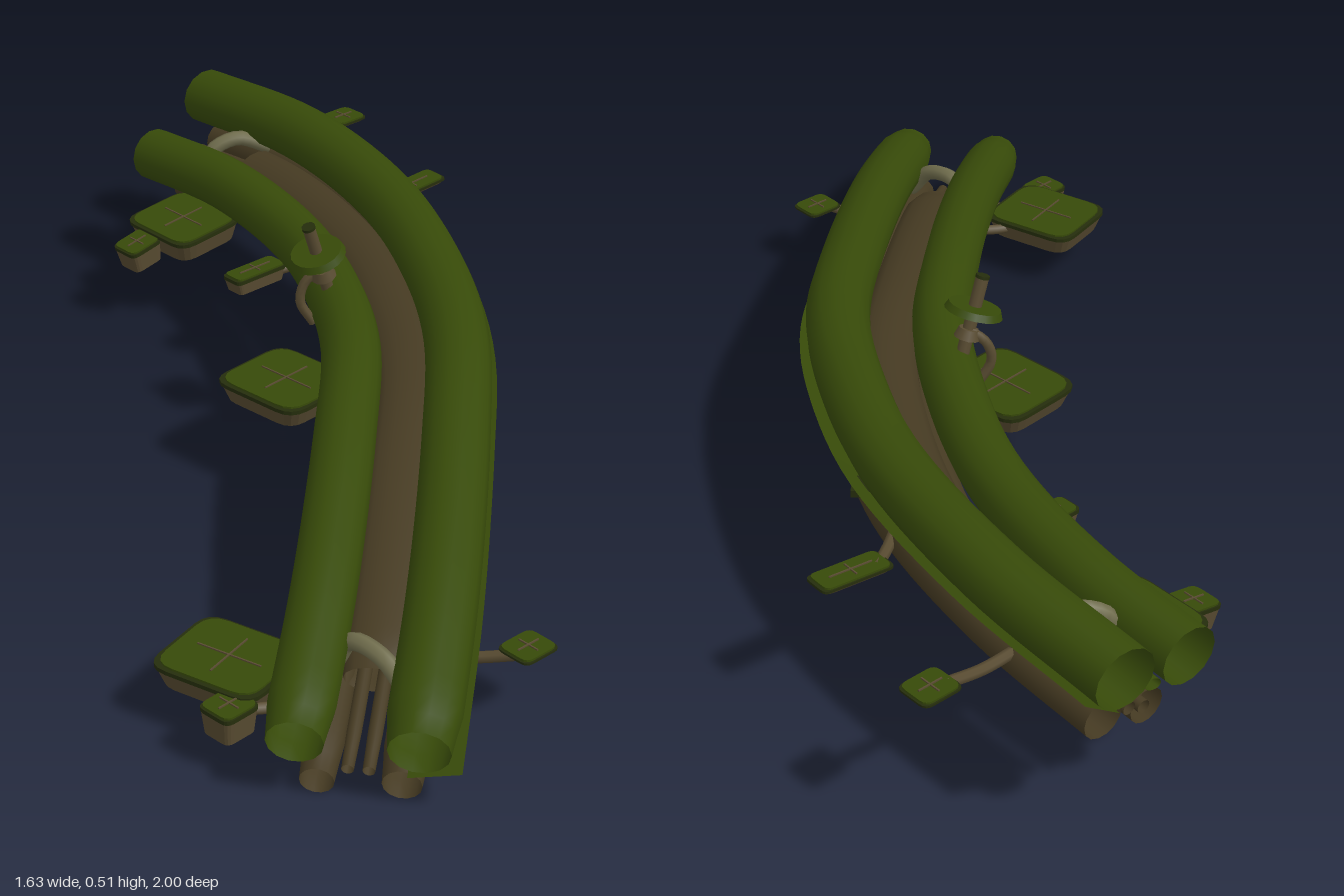
import * as THREE from 'three';
import { ParametricGeometry } from 'three/addons/geometries/ParametricGeometry.js';

const mat = (name, color) => {
  const m = new THREE.MeshStandardMaterial({ color, side: THREE.DoubleSide });
  m.name = name;
  return m;
};
const V = (x, y, z) => new THREE.Vector3(x, y, z);

export function createModel() {
  const group = new THREE.Group();
  const green = mat('moss green', 0x374a09);
  const dark = mat('dark green', 0x252d0c);
  const brown = mat('bark brown', 0x453a22);
  const tan = mat('light bark', 0x584b31);
  const pale = mat('pale olive', 0x6f6c4c);

  const add = (name, geo, material, parent = group) => {
    const m = new THREE.Mesh(geo, material);
    m.name = name;
    parent.add(m);
    return m;
  };

  // Centre line of the bundle, front to back, and the bank along it
  const path = new THREE.CatmullRomCurve3([
    V(-0.715, 0.142, 0.865), V(-0.44, 0.225, 0.64), V(-0.13, 0.298, 0.36), V(0.08, 0.33, 0.15),
    V(0.22, 0.341, -0.05), V(0.36, 0.344, -0.33), V(0.443, 0.344, -0.67), V(0.458, 0.323, -1),
  ]);
  const at = (t, lat, up) => {
    const p = path.getPointAt(t);
    const T = path.getTangentAt(t);
    const bank = 0.42 * THREE.MathUtils.smoothstep(t, 0.24, 0.85);
    const R = V(-T.z, 0, T.x).normalize();
    R.y = bank;
    R.normalize();
    const U = R.clone().cross(T).normalize();
    return p.addScaledVector(R, lat).addScaledVector(U, up);
  };

  // Open pipe swept along the centre line, slightly narrower at its front end
  const pipe = (name, lat, up, rx, ry, material, t0 = 0, t1 = 1) =>
    add(name, new ParametricGeometry((u, v, target) => {
      const a = u * Math.PI * 2;
      const k = 0.84 + 0.16 * THREE.MathUtils.smoothstep(v, 0, 0.04);
      target.copy(at(t0 + (t1 - t0) * v, lat + Math.cos(a) * rx * k, up + Math.sin(a) * ry * k));
    }, 14, 56), material);

  pipe('rightRail', 0.106, 0, 0.064, 0.06, green);
  pipe('leftRail', -0.101, 0, 0.059, 0.058, green, 0, 0.98);
  pipe('rightLowerPipe', 0.075, -0.099, 0.041, 0.041, brown, 0.005, 0.985);
  pipe('leftLowerPipe', -0.069, -0.107, 0.036, 0.036, brown, 0.005, 0.972);
  pipe('centreBeam', 0, -0.068, 0.061, 0.036, brown, 0.09, 0.895);
  for (const s of [-1, 1]) pipe('thinPipe', s * 0.018, -0.085, 0.013, 0.013, brown, 0.01, 0.985);
  pipe('innerSleeve', -0.035, -0.05, 0.02, 0.012, green, 0.93, 0.98);

  // Thin flange along the outer side
  add('outerFlange', new ParametricGeometry((u, v, target) => {
    target.copy(at(v, 0.085 + 0.092 * u, -0.066 + 0.02 * u));
  }, 2, 48), green);

  // Bent rod through a few points
  const rod = (name, pts, r, material, parent = group) =>
    add(name, new THREE.TubeGeometry(new THREE.CatmullRomCurve3(pts), 12, r, 7), material, parent);

  // Straps across the bundle near both ends
  for (const [t, d] of [[0.085, 0.016], [0.91, 0.012]]) {
    rod('crossStrap', [at(t + d, -0.065, -0.05), at(t + d, -0.04, -0.002),
      at(t, 0.02, 0.002), at(t - d, 0.07, -0.05)], 0.017, pale);
  }

  // Rounded plate lying flat, its top at y = 0
  const plate = (w, d, h, r, taper = 1) => {
    const s = new THREE.Shape();
    const x = w / 2, y = d / 2;
    s.moveTo(-x + r, -y);
    s.lineTo(x - r, -y).quadraticCurveTo(x, -y, x, -y + r);
    s.lineTo(x, y - r).quadraticCurveTo(x, y, x - r, y);
    s.lineTo(-x + r, y).quadraticCurveTo(-x, y, -x, y - r);
    s.lineTo(-x, -y + r).quadraticCurveTo(-x, -y, -x + r, -y);
    const g = new THREE.ExtrudeGeometry(s, { depth: h, bevelEnabled: false, curveSegments: 4 });
    g.rotateX(Math.PI / 2);
    const p = g.attributes.position;
    for (let i = 0; i < p.count; i++) {
      if (p.getY(i) < -h / 2) p.setXYZ(i, p.getX(i) * taper, p.getY(i), p.getZ(i) * taper);
    }
    g.computeVertexNormals();
    return g;
  };

  // Leaf-like pad: green top, dark rim, light underside and cross veins
  const pad = (name, x, y, z, w, d, h, rot = 0, tilt = 0) => {
    const g = new THREE.Group();
    g.name = name;
    g.position.set(x, y, z);
    g.rotation.set(0, rot, tilt);
    const r = Math.min(w, d) * 0.22;
    const rim = Math.min(0.008, h);
    add('padRim', plate(w, d, rim, r), dark, g);
    add('padTop', plate(w * 0.92, d * 0.92, 0.005, r), green, g).position.y = 0.004;
    add('padUnderside', plate(w * 0.98, d * 0.98, h, r, 0.88), tan, g).position.y = -rim;
    add('padVein', new THREE.BoxGeometry(w * 0.6, 0.003, 0.003), tan, g).position.y = 0.005;
    add('padVein', new THREE.BoxGeometry(0.003, 0.003, d * 0.6), tan, g).position.y = 0.005;
    group.add(g);
  };

  // Pads on the left side
  pad('backLargePad', 0.28, 0.22, -0.755, 0.18, 0.205, 0.04, 0, 0.1);
  pad('backSmallPad', 0.158, 0.195, -0.77, 0.085, 0.075, 0.042, 0, 0.2);
  pad('backNarrowPad', 0.215, 0.23, -0.44, 0.14, 0.055, 0.026);
  pad('middleLargePad', -0.05, 0.219, -0.045, 0.2, 0.22, 0.034, 0.08);
  pad('frontLargePad', -0.69, 0.135, 0.52, 0.19, 0.22, 0.036, 0.26);
  pad('frontSmallPad', -0.777, 0.128, 0.62, 0.08, 0.075, 0.045, 0.05);
  // Thin pads on the right side
  pad('backRightPad', 0.77, 0.323, -0.76, 0.085, 0.075, 0.004);
  pad('backRightNarrowPad', 0.65, 0.304, -0.41, 0.155, 0.06, 0.005, -0.05, 0.08);
  pad('frontRightPad', -0.305, 0.152, 0.865, 0.085, 0.075, 0.004);

  // Stems joining the pads to the bundle
  const stems = [
    [0.3, 0.19, -0.755, 0.89, -0.07], [0.19, 0.18, -0.77, 0.89, -0.07], [0.24, 0.215, -0.44, 0.73, -0.07],
    [-0.02, 0.2, -0.04, 0.53, -0.07], [-0.66, 0.115, 0.53, 0.15, -0.07], [-0.76, 0.11, 0.62, 0.08, -0.07],
    [0.74, 0.317, -0.765, 0.9, 0.09], [0.6, 0.294, -0.42, 0.73, 0.09], [-0.33, 0.145, 0.86, 0.13, 0.09],
  ];
  for (const [x, y, z, t, lat] of stems) {
    const a = V(x, y, z), b = at(t, lat, -0.085);
    const mid = a.clone().lerp(b, 0.5);
    mid.y -= 0.008;
    rod('padStem', [a, mid, b], 0.011, tan);
  }

  // Small brackets under the right rail
  for (const t of [0.3, 0.7]) {
    const b = add('bracket', new THREE.BoxGeometry(0.05, 0.014, 0.04), dark);
    b.position.copy(at(t, 0.14, -0.06));
    b.rotation.y = 0.8;
  }

  // Upright stalk with a tilted disc on the left rail
  const stalk = new THREE.Group();
  stalk.name = 'discStalk';
  stalk.position.set(0.06, 0.45, -0.075);
  stalk.rotation.z = 0.33;
  add('stalkRod', new THREE.CylinderGeometry(0.013, 0.013, 0.16, 10), tan, stalk).position.y = -0.015;
  add('stalkDisc', new THREE.CylinderGeometry(0.052, 0.058, 0.014, 18), green, stalk);
  add('stalkCap', new THREE.CylinderGeometry(0.014, 0.014, 0.006, 10), dark, stalk).position.y = 0.067;
  add('stalkCollar', new THREE.CylinderGeometry(0.02, 0.026, 0.02, 10), tan, stalk).position.y = -0.05;
  group.add(stalk);
  rod('stalkRoot', [V(0.075, 0.41, -0.08), V(0.05, 0.38, -0.1), V(0.042, 0.34, -0.105),
    V(0.065, 0.29, -0.09)], 0.01, tan);

  return group;
}
